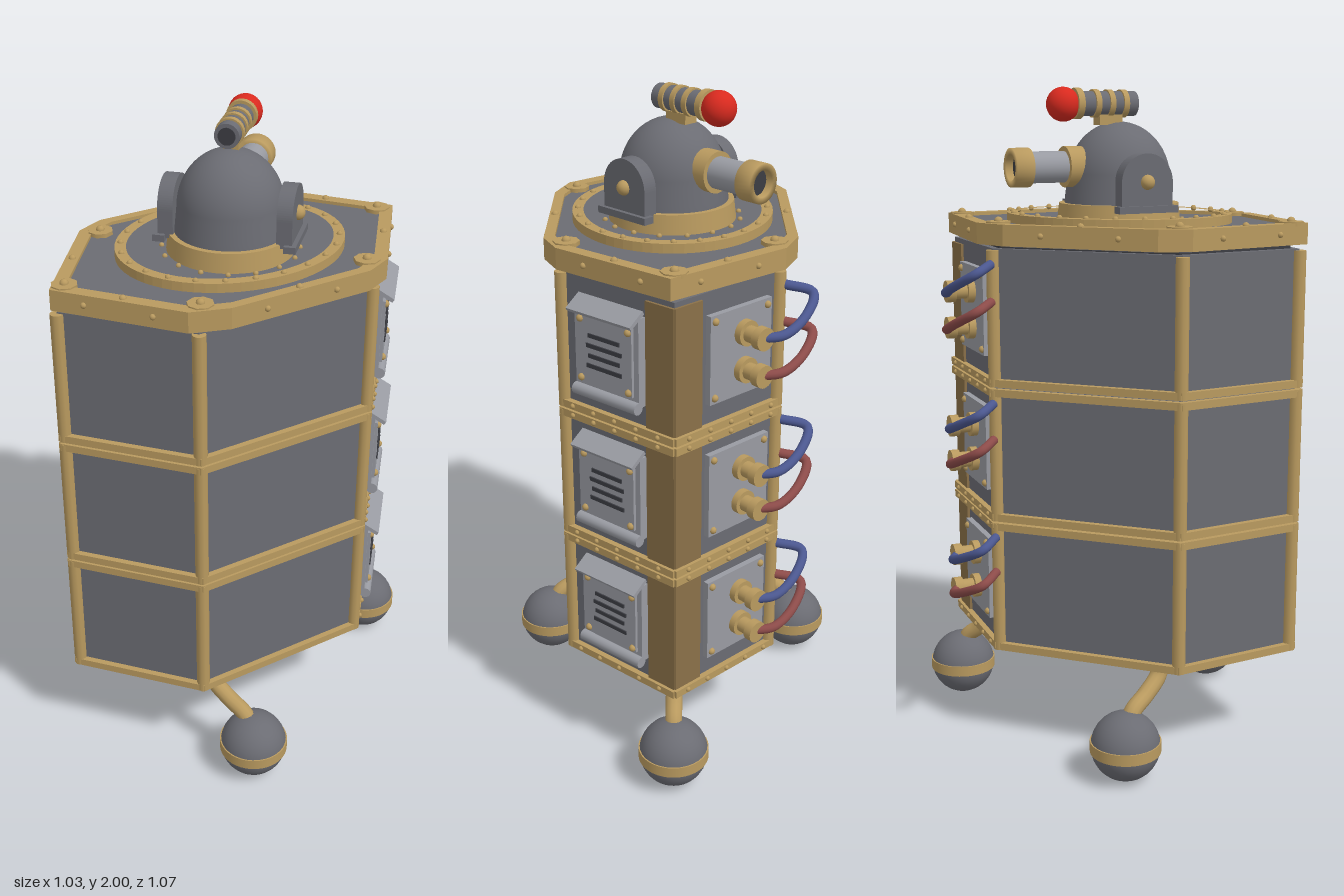
import * as THREE from 'three';

const mat = (name, color) => {
  const m = new THREE.MeshStandardMaterial({ color });
  m.name = name;
  return m;
};
const V = (x, y, z) => new THREE.Vector3(x, y, z);

export function createModel() {
  const grey = mat('steel grey', 0x6b6c73), gold = mat('brass', 0xb99a5f);
  const brown = mat('dark brass', 0x8a7048), light = mat('light grey', 0x999ba2);
  const dark = mat('dark slot', 0x3c3d43), red = mat('lamp red', 0xd92a1f);
  const blue = mat('blue hose', 0x4b578f), maroon = mat('red hose', 0x8c4b49);
  const root = new THREE.Group();
  root.name = 'robot';

  const add = (parent, name, geo, material, x = 0, y = 0, z = 0, rx = 0, ry = 0, rz = 0) => {
    const m = new THREE.Mesh(geo, material);
    m.name = name;
    m.position.set(x, y, z);
    m.rotation.set(rx, ry, rz);
    parent.add(m);
    return m;
  };
  const box = (w, h, d) => new THREE.BoxGeometry(w, h, d);
  const cyl = (r, h, n = 24, r2 = r) => new THREE.CylinderGeometry(r, r2, h, n);
  const ball = (r, n = 32) => new THREE.SphereGeometry(r, n, Math.max(6, n / 2));
  const stud = ball(0.011, 10);
  // Upright prism over a plan outline of [x, z] points, optionally with a hole
  const path = (pts) => pts.map(([x, z]) => new THREE.Vector2(x, -z));
  const prism = (pts, y0, y1, hole) => {
    const s = new THREE.Shape(path(pts));
    if (hole) s.holes.push(new THREE.Path(path(hole)));
    return new THREE.ExtrudeGeometry(s, { depth: y1 - y0, bevelEnabled: false })
      .rotateX(-Math.PI / 2).translate(0, y0, 0);
  };
  const scaled = (pts, k) => pts.map(([x, z]) => [0.005 + (x - 0.005) * k, 0.005 + (z - 0.005) * k]);
  const tube = (pts, r) => new THREE.TubeGeometry(new THREE.CatmullRomCurve3(pts), 32, r, 12);

  // Stretched hexagonal plan: vertex 5 is the brown service corner
  const hex = [[0.425, 0.02], [0.02, 0.425], [-0.39, 0.395], [-0.41, 0], [0, -0.41], [0.395, -0.39]];

  // Frame of one wall: local z points outward, local x runs along the wall
  const wall = (i, y) => {
    const [a, b] = [hex[i], hex[(i + 1) % 6]];
    const dx = b[0] - a[0], dz = b[1] - a[1];
    const g = new THREE.Group();
    g.name = 'wall';
    g.position.set((a[0] + b[0]) / 2, y, (a[1] + b[1]) / 2);
    const s = (dz * g.position.x - dx * g.position.z) > 0 ? 1 : -1;
    g.rotation.y = Math.atan2(s * dz, -s * dx);
    root.add(g);
    return { g, len: Math.hypot(dx, dz) };
  };

  // Louvred panel for the left side
  const ventPanel = (g, x) => {
    add(g, 'ventPlate', box(0.235, 0.26, 0.03), light, x, 0.215, 0.012);
    add(g, 'ventInset', box(0.2, 0.2, 0.012), light, x, 0.215, 0.03);
    add(g, 'ventHood', box(0.235, 0.012, 0.062), light, x, 0.343, 0.032, 0.55);
    add(g, 'ventSill', cyl(0.018, 0.235, 16), light, x, 0.085, 0.03, 0, 0, Math.PI / 2);
    for (let k = 0; k < 4; k++) add(g, 'ventSlot', box(0.13 - (k % 2) * 0.015, 0.012, 0.008), dark, x, 0.17 + k * 0.03, 0.036);
    for (const sx of [-1, 1]) for (const sy of [-1, 1]) add(g, 'ventScrew', stud, gold, x + sx * 0.088, 0.215 + sy * 0.088, 0.036);
  };

  // Plate with two sockets and hoses for the back
  const hosePanel = (g, x) => {
    add(g, 'hosePlate', box(0.235, 0.26, 0.02), light, x, 0.215, 0.008);
    for (const sx of [-1, 1]) for (const sy of [-1, 1]) add(g, 'plateScrew', stud, gold, x + sx * 0.1, 0.215 + sy * 0.112, 0.018);
    [[0, blue, 'blueHose'], [-0.11, maroon, 'redHose']].forEach(([dy, m, name]) => {
      const y = 0.27 + dy;
      add(g, 'socketBase', cyl(0.037, 0.022), gold, 0.045, y, 0.028, Math.PI / 2);
      add(g, 'socketStem', cyl(0.024, 0.07), gold, 0.045, y, 0.055, Math.PI / 2);
      add(g, 'socketCap', cyl(0.033, 0.026), gold, 0.045, y, 0.088, Math.PI / 2);
      add(g, name, tube([V(0.045, y, 0.085), V(0.1, y + 0.004, 0.117), V(0.19, y + 0.035, 0.112),
        V(0.262, y + 0.075, 0.07), V(0.21, y + 0.095, 0.01)], 0.014), m);
    });
  };

  // Three stacked body tiers
  for (let t = 0; t < 3; t++) {
    const y = 0.3 + t * 0.415;
    add(root, 'tier', prism(hex, y, y + 0.41), grey);
    hex.forEach(([x, z], i) => {
      if (i !== 5) add(root, 'cornerPost', cyl(0.02, 0.405, 10), gold, x, y + 0.203, z);
      const { g, len } = wall(i, y);
      const rails = t < 2 ? [0.012, 0.398] : [0.012];
      for (const ry of rails) {
        add(g, 'rail', box(len + 0.02, 0.023, 0.036), gold, 0, ry, 0);
        if (i >= 4) for (let k = -2; k <= 2; k++) add(g, 'railStud', ball(0.008, 8), gold, k * 0.08, ry, 0.018);
      }
      if (i === 5) {
        add(g, 'cornerPlate', box(0.1, 0.38, 0.012), brown, len / 2 - 0.046, 0.205, 0.002);
        ventPanel(g, -0.015);
      }
      if (i === 4) {
        add(g, 'cornerPlate', box(0.1, 0.38, 0.012), brown, 0.046 - len / 2, 0.205, 0.002);
        hosePanel(g, 0.035);
      }
    });
  }
  add(root, 'floor', prism(scaled(hex, 1.02), 0.296, 0.303), gold);
  add(root, 'neck', prism(scaled(hex, 0.95), 1.53, 1.56), dark);

  // Roof with brass rim, corner plates and studs
  const roof = [[0, 0.46], [0.105, 0.408], [0.425, 0.09], [0.46, 0], [0.42, -0.4], [0.02, -0.45],
    [-0.08, -0.408], [-0.415, -0.08], [-0.45, 0.01], [-0.4, 0.415]];
  add(root, 'roofRim', prism(roof, 1.553, 1.615, scaled(roof, 0.915)), gold);
  add(root, 'roofPlate', prism(scaled(roof, 0.95), 1.55, 1.605), grey);
  hex.forEach(([x, z]) => {
    add(root, 'roofCornerPlate', cyl(0.038, 0.012, 8), gold, x * 0.95, 1.613, z * 0.95);
    add(root, 'roofScrew', ball(0.013, 10), gold, x * 0.95, 1.619, z * 0.95);
  });
  roof.forEach(([x, z], i) => {
    const [x2, z2] = roof[(i + 1) % roof.length];
    if (Math.hypot(x2 - x, z2 - z) < 0.2) return;
    add(root, 'rimStud', stud, gold, (x + x2) * 0.478, 1.614, (z + z2) * 0.478);
    for (const k of [0.25, 0.75]) add(root, 'rimSideStud', ball(0.009, 8), gold, x + (x2 - x) * k, 1.585, z + (z2 - z) * k);
  });

  // Oval ring, stretched along the roof's long diagonal
  const oval = (a, b, n = 64) => Array.from({ length: n }, (_, i) => {
    const t = i / n * Math.PI * 2, u = a * Math.cos(t), v = b * Math.sin(t);
    return [(u + v) * Math.SQRT1_2 + 0.005, (v - u) * Math.SQRT1_2];
  });
  add(root, 'ovalRing', prism(oval(0.345, 0.293), 1.6, 1.632, oval(0.312, 0.26)), gold);
  oval(0.329, 0.277, 24).forEach(([x, z]) => add(root, 'ringStud', ball(0.009, 8), gold, x, 1.632, z));

  // Domed head
  const head = new THREE.Group();
  head.name = 'head';
  head.position.x = 0.005;
  root.add(head);
  add(head, 'headCollar', cyl(0.18, 0.06, 48, 0.187), gold, 0, 1.632, 0);
  for (let i = 0; i < 16; i++) {
    const a = (i + 0.5) / 16 * Math.PI * 2;
    add(head, 'collarStud', ball(0.008, 8), gold, 0.2 * Math.cos(a), 1.607, 0.2 * Math.sin(a));
  }
  const dome = [new THREE.Vector2(0.165, 1.64), new THREE.Vector2(0.162, 1.68)];
  for (let i = 0; i <= 14; i++) {
    const t = i / 14 * Math.PI / 2;
    dome.push(new THREE.Vector2(0.155 * Math.cos(t), 1.73 + 0.17 * Math.sin(t)));
  }
  add(head, 'dome', new THREE.LatheGeometry(dome, 48), grey);

  // Arched ear plates with brass pivots
  const arch = new THREE.Shape();
  arch.moveTo(-0.082, 1.65).lineTo(0.082, 1.65).lineTo(0.082, 1.73);
  arch.absarc(0, 1.73, 0.082, 0, Math.PI, false);
  const ear = new THREE.ExtrudeGeometry(arch, { depth: 0.045, bevelEnabled: false, curveSegments: 20 })
    .translate(0, 0, -0.0225).rotateY(Math.PI / 2);
  for (const s of [-1, 1]) {
    add(head, 'ear', ear, grey, s * 0.172, 0, 0);
    add(head, 'earFoot', box(0.035, 0.02, 0.19), grey, s * 0.19, 1.652, 0);
    add(head, 'earPivot', ball(0.022, 16), gold, s * 0.194, 1.73, 0);
  }

  // Rear scope
  const H = Math.PI / 2;
  add(head, 'scopeCollar', cyl(0.06, 0.075), gold, 0, 1.77, -0.142, H);
  add(head, 'scopeBarrel', cyl(0.046, 0.18), light, 0, 1.77, -0.23, H);
  const cap = [[0.038, 0], [0.057, 0], [0.057, 0.055], [0.038, 0.055], [0.038, 0]].map(([r, y]) => new THREE.Vector2(r, y));
  add(head, 'scopeCap', new THREE.LatheGeometry(cap, 32), gold, 0, 1.77, -0.292, -H);
  add(head, 'scopeLens', cyl(0.039, 0.006), dark, 0, 1.77, -0.322, H);

  // Top lamp on a banded tube
  add(head, 'lampMount', box(0.045, 0.03, 0.075), gold, 0, 1.905, -0.035);
  add(head, 'lampTube', cyl(0.036, 0.2), grey, 0, 1.952, -0.05, H);
  add(head, 'lampTubeEnd', cyl(0.025, 0.006), dark, 0, 1.952, 0.05, H);
  for (const z of [0.01, -0.035, -0.08]) add(head, 'lampBand', cyl(0.041, 0.017), gold, 0, 1.952, z, H);
  add(head, 'lampCollar', cyl(0.045, 0.02), gold, 0, 1.952, -0.137, H);
  add(head, 'lamp', ball(0.05), red, 0, 1.95, -0.18);

  // Curved legs with ball feet: [foot x, z, leg top x, z]
  [[0.18, 0.42, 0.02, 0.345], [-0.41, -0.175, -0.335, -0.02], [0.405, -0.395, 0.325, -0.32]].forEach(([x, z, tx, tz]) => {
    const at = (k, y) => V(tx + (x - tx) * k, y, tz + (z - tz) * k);
    add(root, 'leg', tube([at(0, 0.31), at(0.1, 0.27), at(0.45, 0.23), at(0.8, 0.2), at(0.97, 0.15)], 0.026), gold);
    add(root, 'ballFoot', ball(0.104), grey, x, 0.104, z);
    add(root, 'footBand', cyl(0.106, 0.034, 40), gold, x, 0.105, z);
  });
  return root;
}
